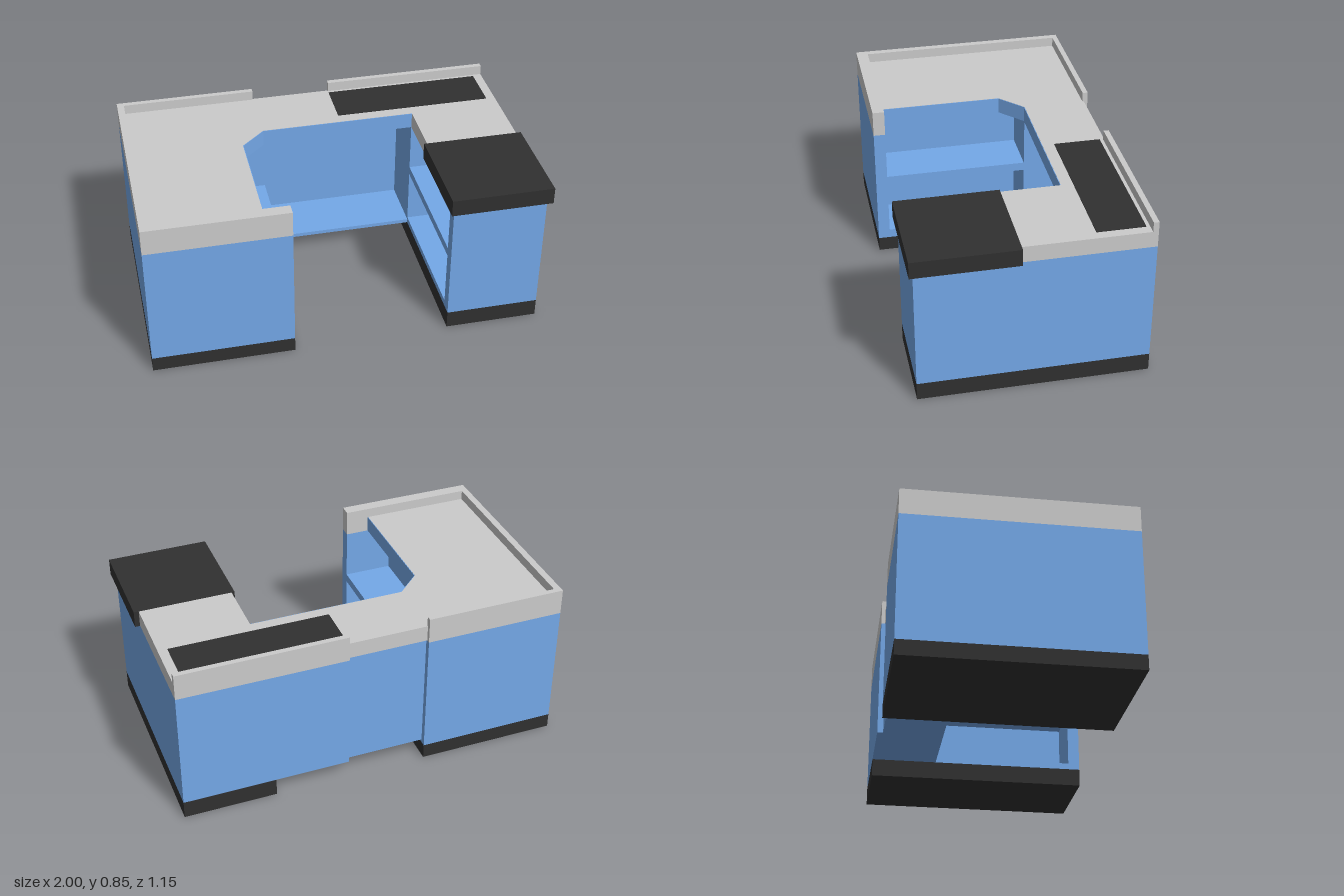
import * as THREE from 'three';

const grey = new THREE.MeshStandardMaterial({ color: 0xcccccc });
const blue = new THREE.MeshStandardMaterial({ color: 0x74a8e8 });
const black = new THREE.MeshStandardMaterial({ color: 0x303030 });

// Box given by its limits on each axis
function box(parent, name, mat, [x0, x1], [y0, y1], [z0, z1]) {
  const mesh = new THREE.Mesh(new THREE.BoxGeometry(x1 - x0, y1 - y0, z1 - z0), mat);
  mesh.position.set((x0 + x1) / 2, (y0 + y1) / 2, (z0 + z1) / 2);
  mesh.name = name;
  parent.add(mesh);
}

// Horizontal slab from an outline of [x, z] points
function slab(parent, name, mat, points, y0, y1) {
  const shape = new THREE.Shape(points.map(([x, z]) => new THREE.Vector2(x, -z)));
  const geo = new THREE.ExtrudeGeometry(shape, { depth: y1 - y0, bevelEnabled: false });
  geo.rotateX(-Math.PI / 2);
  geo.translate(0, y0, 0);
  const mesh = new THREE.Mesh(geo, mat);
  mesh.name = name;
  parent.add(mesh);
}

// Pedestal with a shelved niche facing the knee space
function pedestal(name, outer, open, plinthTop, top, front) {
  const g = new THREE.Group();
  g.name = name;
  const back = -0.575, nicheBack = -0.235, nicheFront = front - 0.06;
  const inner = open + Math.sign(outer - open) * 0.25;
  const span = (a, b) => [Math.min(a, b), Math.max(a, b)];
  const depth = span(inner, open);
  box(g, 'plinth', black, span(outer, open), [0, plinthTop], [back, front]);
  box(g, 'cabinetBody', blue, span(outer, inner), [plinthTop, top], [back, front]);
  box(g, 'rearPartition', blue, depth, [plinthTop, top], [back, nicheBack]);
  box(g, 'frontPanel', blue, depth, [plinthTop, top], [nicheFront, front]);
  box(g, 'nicheFloor', blue, depth, [plinthTop, 0.125], [nicheBack, nicheFront]);
  box(g, 'shelf', blue, depth, [0.415, 0.46], [nicheBack, nicheFront]);
  return g;
}

export function createModel() {
  const desk = new THREE.Group();
  desk.name = 'receptionDesk';
  const under = 0.717, top = 0.8, rim = 0.85;

  desk.add(pedestal('rightPedestal', -1, -0.287, 0.077, under, 0.565));
  desk.add(pedestal('leftPedestal', 0.975, 0.503, 0.092, under, 0.555));

  // Knee space: floor, back panel and the wider rear cladding
  box(desk, 'kneeFloor', blue, [-0.287, 0.503], [0.092, 0.112], [-0.545, -0.235]);
  box(desk, 'kneeBackPanel', blue, [-0.287, 0.503], [0.112, under], [-0.545, -0.525]);
  box(desk, 'rearCladding', blue, [0.122, 0.503], [0.092, under], [-0.575, -0.545]);

  // Countertop with a coloured inner edge
  const edge = [[-0.41, 0.505], [-0.41, -0.12], [-0.287, -0.235], [0.503, -0.235]];
  slab(desk, 'countertop', grey, [
    [-0.965, -0.555], [-0.965, 0.505], ...edge,
    [0.503, 0.06], [0.975, 0.06], [0.975, -0.555],
  ], under, top);
  const edgeOut = [[0.503, -0.232], [-0.286, -0.232], [-0.407, -0.119], [-0.407, 0.505]];
  slab(desk, 'countertopEdge', blue, [...edge, ...edgeOut], under, top - 0.001);

  // Raised rims
  box(desk, 'sideRim', grey, [-1, -0.965], [under, rim], [-0.575, 0.565]);
  box(desk, 'frontRim', grey, [-0.965, -0.287], [under, rim], [0.505, 0.565]);
  box(desk, 'rightRearRim', grey, [-0.965, -0.287], [under, rim], [-0.575, -0.548]);
  box(desk, 'leftRearRim', grey, [0.122, 0.975], [under, rim], [-0.575, -0.548]);

  // Dark inlay and dark end worktop
  box(desk, 'darkInlay', black, [0.122, 0.928], [top - 0.01, top + 0.003], [-0.53, -0.295]);
  box(desk, 'endWorktop', black, [0.487, 1], [under - 0.002, top + 0.001], [0.06, 0.575]);
  return desk;
}
